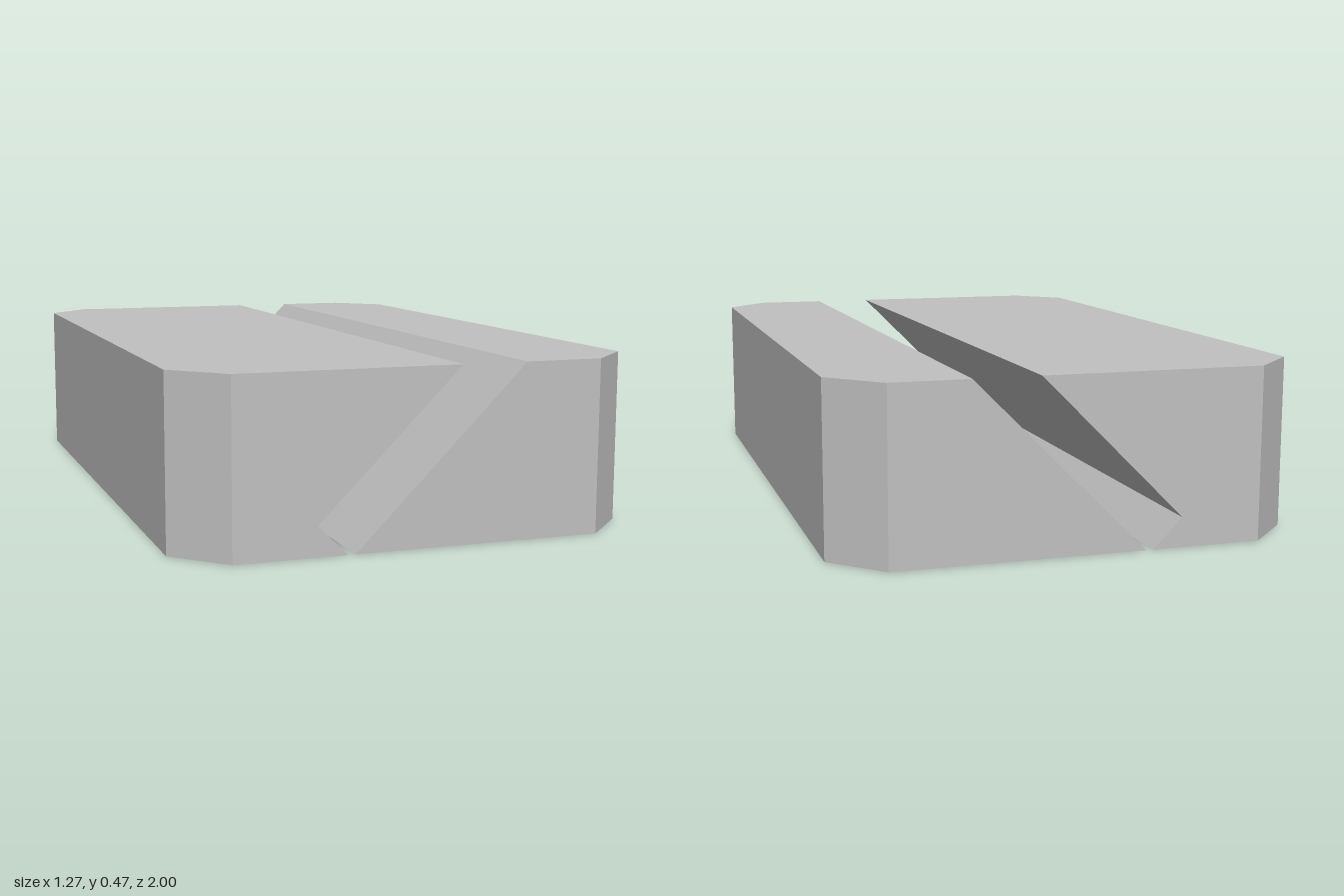
import * as THREE from 'three';
import { mergeGeometries } from 'three/addons/utils/BufferGeometryUtils.js';

const H = 0.467;   // height
const W = 0.633;   // half width
const C = 0.5;     // x where the corner chamfers start
const L = 0.867;   // half length of the long outer sides

// half length of the block at a given x
const reach = (x) => (Math.abs(x) > C ? L : 1);

// Prism along z from a counter-clockwise [x, y] outline with chamfered outer corners.
// The first point must see all inner points, so that the end faces can be fans.
function blockGeometry(outline, openBottom) {
  const pos = [];
  const fan = (pts) => {
    for (let i = 1; i < pts.length - 1; i++) pos.push(...pts[0], ...pts[i], ...pts[i + 1]);
  };
  // walls
  outline.forEach((a, i) => {
    const b = outline[(i + 1) % outline.length];
    if (openBottom && a[1] === 0 && b[1] === 0) return;
    const ra = reach(a[0]), rb = reach(b[0]);
    fan([[...a, ra], [...a, -ra], [...b, -rb], [...b, rb]]);
  });
  // end faces and chamfers
  const inner = outline.filter((p) => Math.abs(p[0]) <= C);
  const outer = outline.filter((p) => Math.abs(p[0]) >= C);
  for (const part of [inner, outer]) {
    const front = part.map((p) => [...p, reach(p[0])]);
    const back = part.map((p) => [...p, -reach(p[0])]);
    fan(front);
    fan([back[0], ...back.slice(1).reverse()]);
  }
  const g = new THREE.BufferGeometry();
  g.setAttribute('position', new THREE.Float32BufferAttribute(pos, 3));
  g.computeVertexNormals();
  return g;
}

// Underside with a rectangular opening, plus the inward-facing pocket
function pocketGeometry(x0, x1, halfLength, depth, edgeX) {
  const v = (x, y) => new THREE.Vector2(x, y);
  const base = new THREE.Shape([
    v(edgeX, -1), v(edgeX, 1), v(-C, 1), v(-W, L), v(-W, -L), v(-C, -1),
  ]);
  base.holes.push(new THREE.Path([
    v(x0, -halfLength), v(x1, -halfLength), v(x1, halfLength), v(x0, halfLength),
  ]));
  const underside = new THREE.ShapeGeometry(base).rotateX(Math.PI / 2).toNonIndexed();

  const box = new THREE.BoxGeometry(x1 - x0, depth, halfLength * 2);
  const index = Array.from(box.index.array);
  index.splice(18, 6);            // leave the bottom open
  box.setIndex(index.reverse());  // turn the faces inward
  const pocket = box.toNonIndexed();
  pocket.computeVertexNormals();
  pocket.translate((x0 + x1) / 2, depth / 2, 0);
  return mergeGeometries([underside, pocket]);
}

export function createModel() {
  const group = new THREE.Group();
  group.name = 'slottedBlock';
  const grey = new THREE.MeshStandardMaterial({ color: 0xc0c0c0 });
  grey.name = 'grey';

  const add = (name, geometry, parent = group) => {
    const mesh = new THREE.Mesh(geometry, grey);
    mesh.name = name;
    parent.add(mesh);
  };

  // overhanging half, hollowed from below
  const overhang = new THREE.Group();
  overhang.name = 'overhangingHalf';
  group.add(overhang);
  add('overhangingBody', blockGeometry([
    [-0.28, 0.08], [0.107, H], [-C, H], [-W, H], [-W, 0], [-C, 0], [-0.2, 0],
  ], true), overhang);
  add('undersidePocket', pocketGeometry(-0.5, -0.293, L, 0.333, -0.2), overhang);

  // sloped half, solid
  add('slopedHalf', blockGeometry([
    [-0.18, 0], [C, 0], [W, 0], [W, H], [C, H], [0.287, H],
  ], false));

  return group;
}
